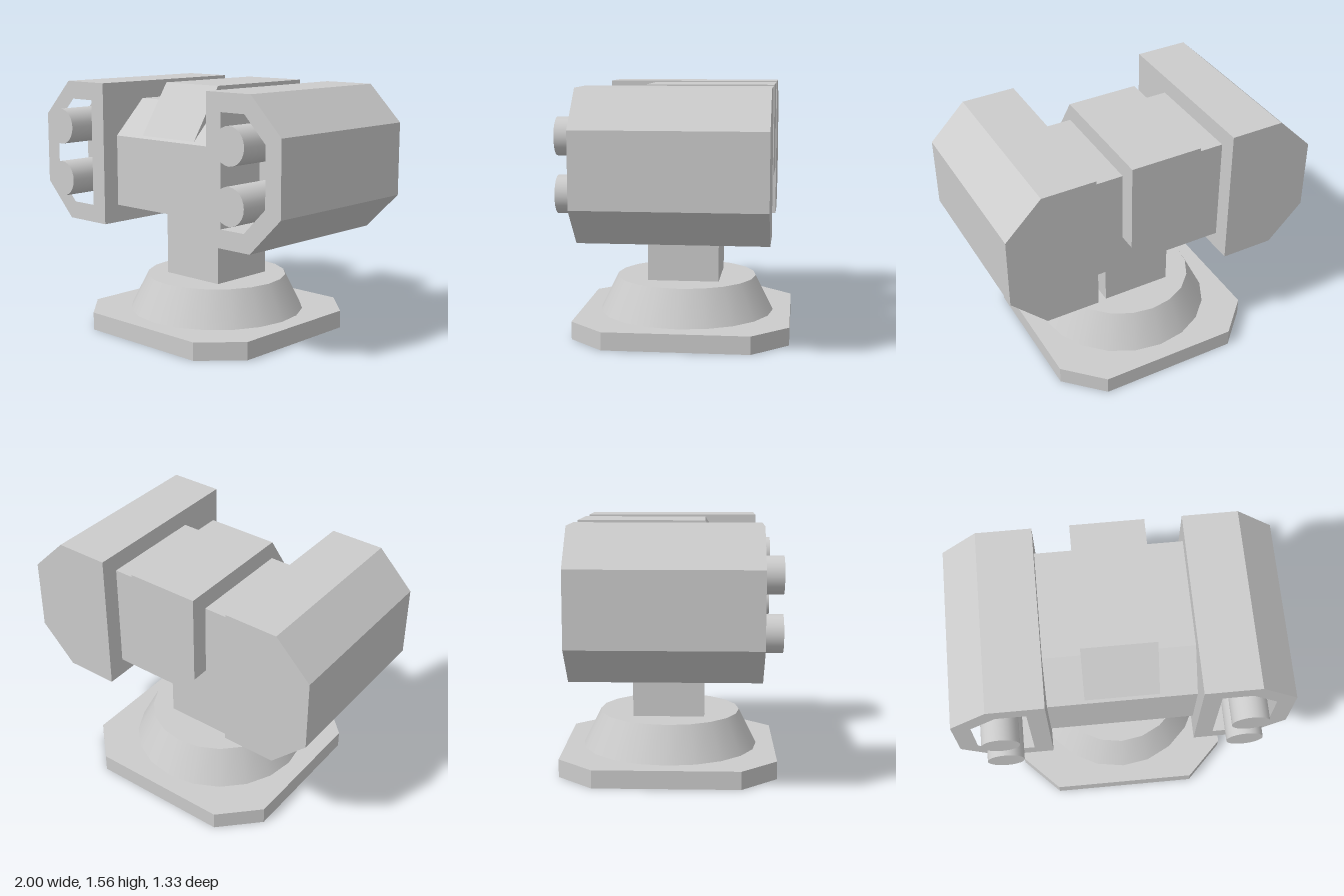
import * as THREE from 'three';

const U = 1 / 9; // modelling grid step
const material = new THREE.MeshStandardMaterial({ color: 0xcccccc, flatShading: true });
const smooth = new THREE.MeshStandardMaterial({ color: 0xcccccc });

const toPoints = (pairs) => pairs.map(([x, y]) => new THREE.Vector2(x * U, y * U));

function add(parent, name, geometry, mat = material) {
  const mesh = new THREE.Mesh(geometry, mat);
  mesh.name = name;
  parent.add(mesh);
  return mesh;
}

// Straight prism along z from an outline (grid steps), with an optional hole
function prism(outline, z0, z1, hole) {
  const shape = new THREE.Shape(toPoints(outline));
  if (hole) shape.holes.push(new THREE.Path(toPoints(hole)));
  const geometry = new THREE.ExtrudeGeometry(shape, { depth: (z1 - z0) * U, bevelEnabled: false });
  return geometry.translate(0, 0, z0 * U);
}

// Side profile given as [z, y], extruded across x and centred
function sideProfile(profile, halfWidth) {
  const geometry = prism(profile, -halfWidth, halfWidth);
  return geometry.rotateY(-Math.PI / 2);
}

function createPod(side) {
  const pod = new THREE.Group();
  pod.name = side > 0 ? 'leftPod' : 'rightPod';
  const mirror = (pairs) => pairs.map(([x, y]) => [x * side, y]);
  const outline = mirror([[4, 6], [7, 6], [9, 8], [9, 12], [7, 14], [4, 14]]);
  const recess = mirror([[5, 7], [6.6, 7], [8, 8.4], [8, 11.6], [6.6, 13], [5, 13]]);
  add(pod, 'podHousing', prism(outline, -5, 2));
  add(pod, 'podFrontFrame', prism(outline, 2, 5, recess));

  // Two barrels standing out of the recess
  for (const y of [8.5, 11.5]) {
    const barrel = new THREE.CylinderGeometry(U, U, 4 * U, 24).rotateX(Math.PI / 2);
    add(pod, 'barrel', barrel, smooth).position.set(6.5 * U * side, y * U, 4 * U);
  }
  return pod;
}

export function createModel() {
  const model = new THREE.Group();
  model.name = 'twinPodTurret';

  // Base plate with cut corners
  const plate = prism([[-4, -6], [4, -6], [6, -4], [6, 4], [4, 6], [-4, 6], [-6, 4], [-6, -4]], 0, 1);
  add(model, 'basePlate', plate.rotateX(-Math.PI / 2));

  // Tapered pedestal and square post
  const pedestal = new THREE.CylinderGeometry(4 * U, 5 * U, 2 * U, 20);
  add(model, 'pedestal', pedestal, smooth).position.y = 2 * U;
  add(model, 'post', new THREE.BoxGeometry(4 * U, 4.2 * U, 4 * U)).position.y = 5.1 * U;

  // Central body with a sloped front, and the raised block over it
  add(model, 'centralBody', sideProfile([[-4, 7], [4, 7], [4, 11], [2, 13], [-4, 13]], 4));
  add(model, 'topBlock', sideProfile([[-5, 9], [3, 9], [3.95, 11], [2, 14], [-5, 14]], 2));

  for (const side of [1, -1]) model.add(createPod(side));
  return model;
}
